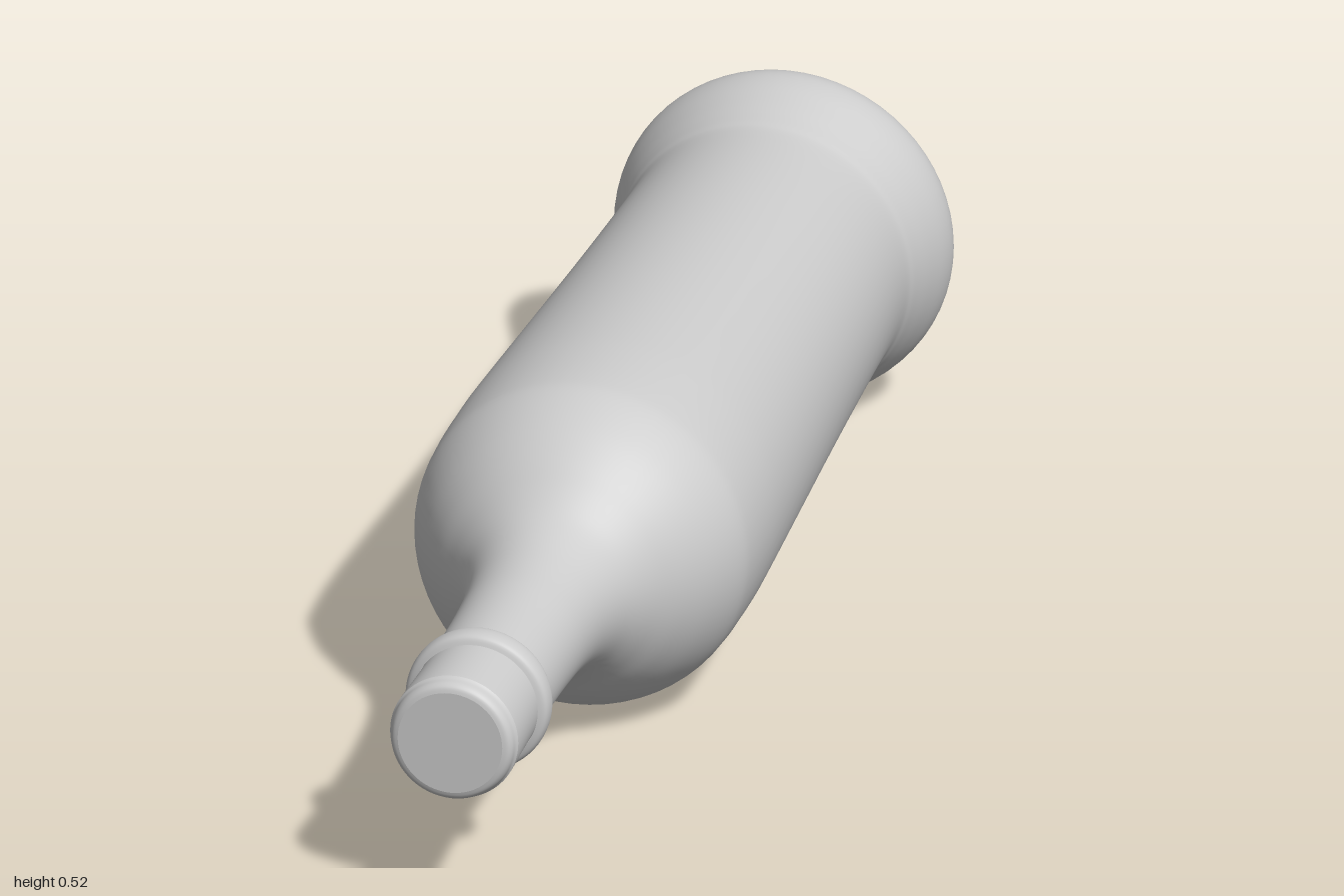
import * as THREE from 'three';

const AXIS_HEIGHT = 0.258;
const SIDES = 64;

// Points are [radius, z]; a smooth curve is run through them
const smooth = (pts, n) =>
  new THREE.SplineCurve(pts.map(([r, z]) => new THREE.Vector2(r, z))).getPoints(n);
const straight = (pts) => pts.map(([r, z]) => new THREE.Vector2(r, z));

export function createModel() {
  const group = new THREE.Group();
  group.name = 'bottle';
  const material = new THREE.MeshStandardMaterial({ color: 0xcccccc, side: THREE.DoubleSide });

  // Turned part lying along z
  function turned(name, profile) {
    const mesh = new THREE.Mesh(new THREE.LatheGeometry(profile, SIDES), material);
    mesh.name = name;
    mesh.rotation.x = Math.PI / 2;
    mesh.position.y = AXIS_HEIGHT;
    group.add(mesh);
  }

  // Flat base disc
  turned('base', straight([[0, -1], [0.236, -1]]));

  // Flared foot, tapering body, rounded shoulder and slim neck
  turned('body', smooth([
    [0.236, -1], [0.25, -0.99], [0.257, -0.965], [0.254, -0.935], [0.242, -0.895],
    [0.229, -0.85], [0.223, -0.8], [0.229, -0.6], [0.237, -0.4], [0.246, -0.2],
    [0.255, 0], [0.258, 0.1], [0.257, 0.2], [0.25, 0.25], [0.224, 0.31],
    [0.19, 0.36], [0.155, 0.4], [0.128, 0.44], [0.111, 0.49], [0.102, 0.55],
    [0.098, 0.62], [0.096, 0.7], [0.096, 0.82],
  ], 110));

  // Raised ring under the cap
  turned('neckRing', smooth([
    [0.096, 0.805], [0.106, 0.81], [0.11, 0.822], [0.11, 0.838], [0.106, 0.848], [0.096, 0.853],
  ], 20));

  // Cap with a shallow lip and a rounded rim
  turned('cap', straight([[0.095, 0.84], [0.096, 0.9], [0.098, 0.965], [0.098, 0.975]]));
  turned('capRim', smooth([[0.098, 0.975], [0.095, 0.98], [0.093, 0.99], [0.088, 0.997], [0.08, 1]], 14));
  turned('capTop', straight([[0.08, 1], [0, 1]]));

  return group;
}
